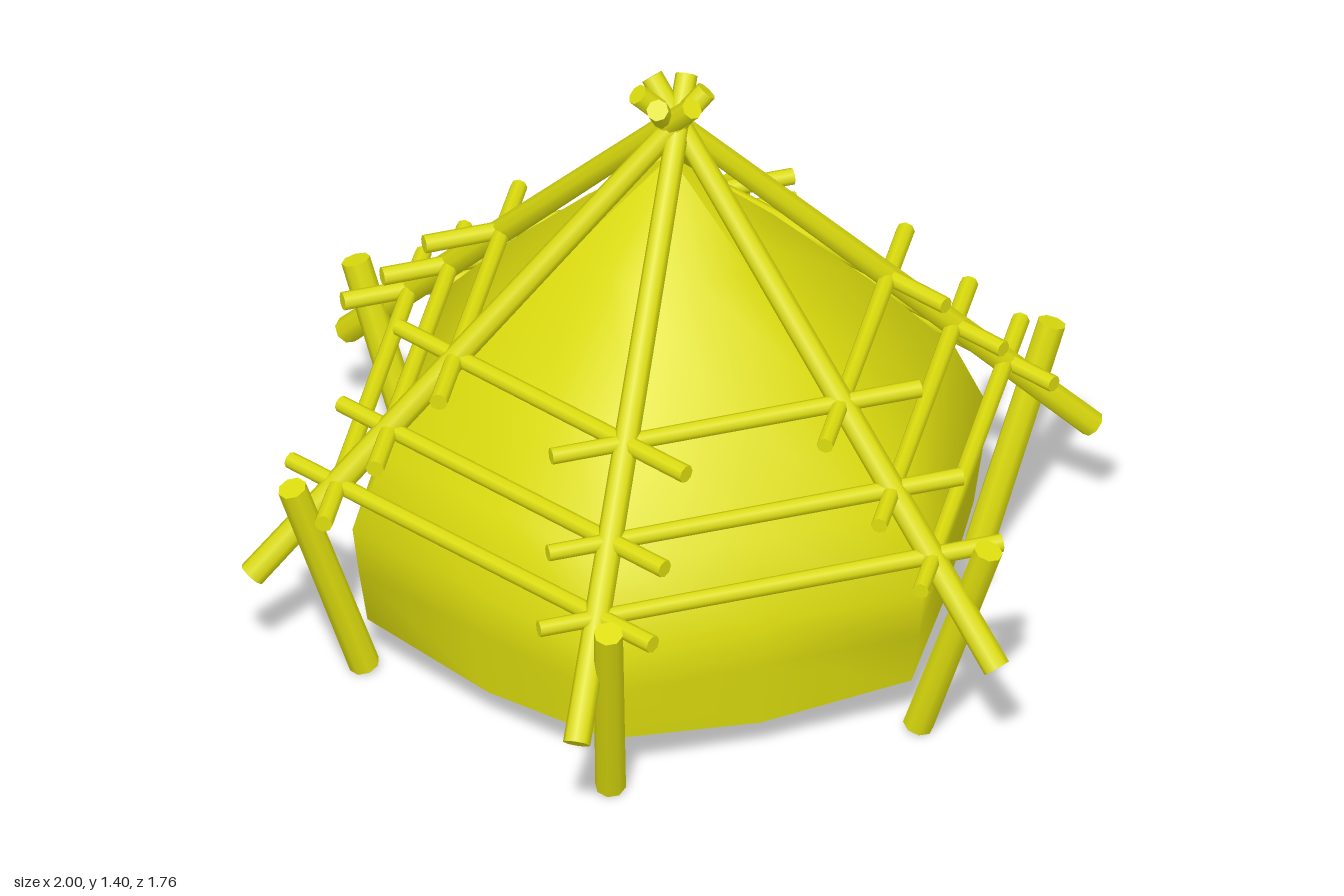
import * as THREE from 'three';
import { mergeVertices } from 'three/addons/utils/BufferGeometryUtils.js';

const Y_AXIS = new THREE.Vector3(0, 1, 0);

export function createModel() {
  const model = new THREE.Group();
  const yellow = new THREE.MeshStandardMaterial({ color: 0xdcdc0e });
  yellow.name = 'yellow';
  yellow.side = THREE.DoubleSide;

  // Straight, slightly tapered stick between two points
  function stick(name, a, b, ra, rb) {
    const dir = b.clone().sub(a);
    const mesh = new THREE.Mesh(new THREE.CylinderGeometry(rb, ra, dir.length(), 8), yellow);
    mesh.name = name;
    mesh.position.copy(a).add(b).multiplyScalar(0.5);
    mesh.quaternion.setFromUnitVectors(Y_AXIS, dir.normalize());
    return mesh;
  }
  const v = (x, y, z) => new THREE.Vector3(x, y, z);

  // Canopy: open hexagonal tent skin, scalloped at the hem
  const profile = [[0.71, 0.12], [0.73, 0.25], [0.745, 0.37], [0.665, 0.55],
    [0.47, 0.77], [0.24, 1.0], [0.001, 1.21]];
  let skin = new THREE.LatheGeometry(profile.map(p => new THREE.Vector2(...p)), 12);
  const pos = skin.attributes.position;
  for (let i = 0; i < pos.count; i++) {
    const column = Math.floor(i / profile.length);
    if (column % 2 === 0) {
      // middle of a hexagon side
      pos.setX(i, pos.getX(i) * 0.866);
      pos.setZ(i, pos.getZ(i) * 0.866);
      if (i % profile.length === 0) pos.setY(i, 0.085);
    }
  }
  skin.deleteAttribute('uv');
  skin.deleteAttribute('normal');
  skin = mergeVertices(skin, 1e-4);
  skin.computeVertexNormals();
  const canopy = new THREE.Mesh(skin, yellow);
  canopy.name = 'canopy';
  canopy.position.z = -0.01;
  model.add(canopy);

  // Rails: height, distance from the axis, half length
  const rails = [[0.5, 0.675, 0.54], [0.623, 0.57, 0.483], [0.785, 0.437, 0.43]];

  // Six identical frame sections
  for (let i = 0; i < 6; i++) {
    const section = new THREE.Group();
    section.name = 'frameSection' + (i + 1);
    section.rotation.y = i * Math.PI / 3;

    // Long pole crossing the others above the apex
    section.add(stick('pole', v(0.977, 0.292, 0.022), v(-0.075, 1.388, -0.018), 0.031, 0.025));
    // Short leaning ground stake
    section.add(stick('stake', v(0.722, 0.012, -0.004), v(0.902, 0.545, -0.035), 0.035, 0.033));

    // Three horizontal rails along one side of the hexagon
    const side = new THREE.Group();
    side.name = 'rails';
    side.rotation.y = Math.PI / 6;
    for (const [y, r, half] of rails) {
      side.add(stick('rail', v(r + 0.006, y, -half), v(r - 0.006, y, half), 0.021, 0.019));
    }
    section.add(side);
    model.add(section);
  }
  return model;
}
